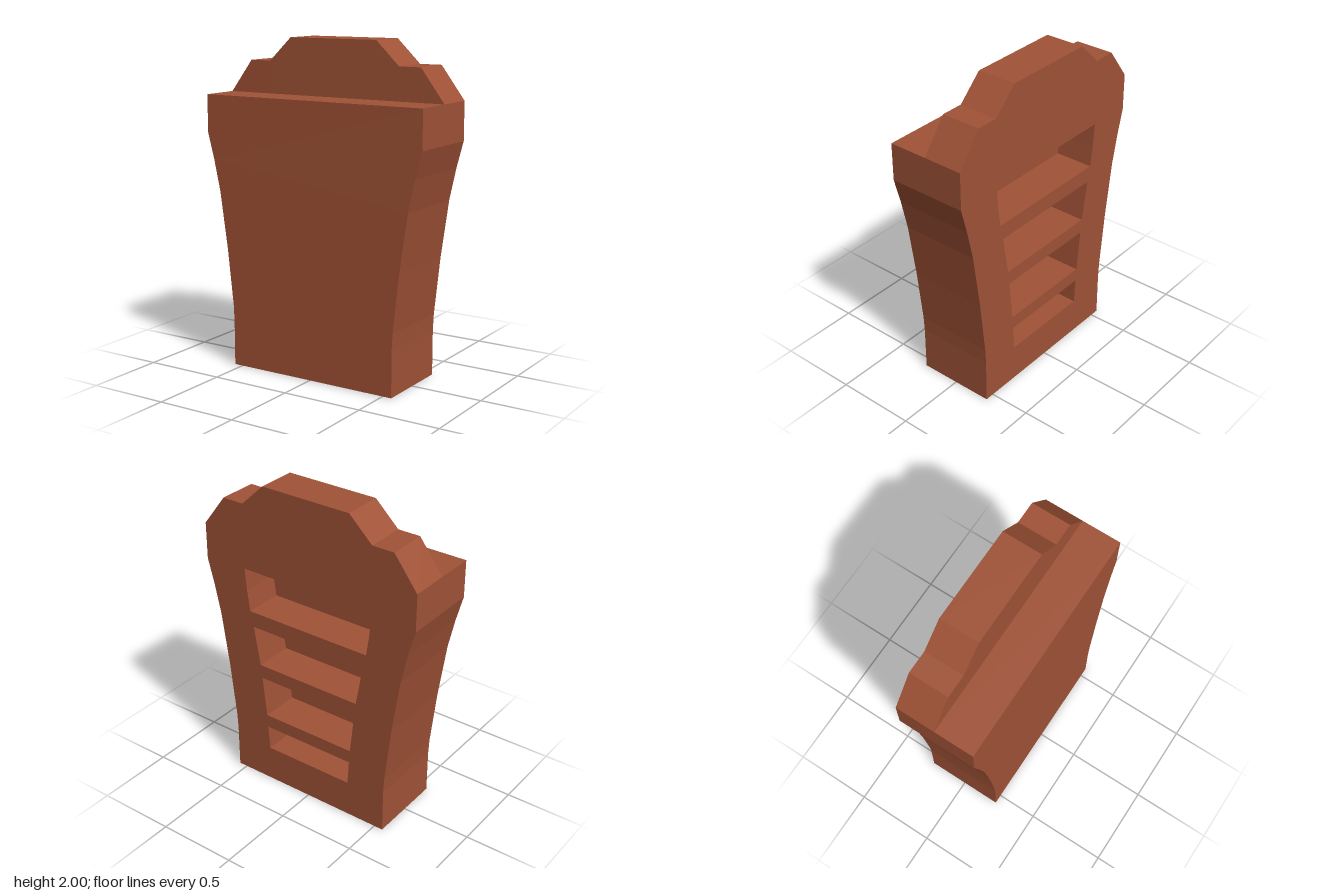
import * as THREE from 'three';

const DEPTH = 0.245;

// Right half outline of the tapered body, bottom to shoulder: [x, y]
const SIDE = [[0.557, 0], [0.557, 0.28], [0.562, 0.38], [0.6, 0.73], [0.65, 1.08], [0.692, 1.27], [0.735, 1.43], [0.735, 1.66]];

// Stepped crest above the shoulder
const CREST = [[0.585, 1.857], [0.445, 1.857], [0.295, 2]];

// Right edges of the four recesses, bottom to top
const SLOTS = [
  [[0.299, 0.232], [0.308, 0.389]],
  [[0.314, 0.473], [0.342, 0.735]],
  [[0.352, 0.823], [0.376, 0.96], [0.395, 1.074]],
  [[0.418, 1.173], [0.437, 1.305], [0.449, 1.446]],
];

// Closes a half outline with its mirror image
function mirrored(half, Type) {
  const left = half.map(([x, y]) => [-x, y]).reverse();
  return new Type([...half, ...left].map(([x, y]) => new THREE.Vector2(x, y)));
}

export function createModel() {
  const group = new THREE.Group();
  group.name = 'taperedBlock';
  const material = new THREE.MeshStandardMaterial({ color: 0xa05236 });

  function addSlab(name, shape, z) {
    const geometry = new THREE.ExtrudeGeometry(shape, { depth: DEPTH, bevelEnabled: false });
    const mesh = new THREE.Mesh(geometry, material);
    mesh.name = name;
    mesh.position.z = z;
    group.add(mesh);
  }

  // Plain front slab, flat at the shoulder
  addSlab('frontSlab', mirrored(SIDE, THREE.Shape), 0);

  // Taller back slab with the crest and recesses that end at the front slab
  const back = mirrored([...SIDE, ...CREST], THREE.Shape);
  back.holes = SLOTS.map((slot) => mirrored(slot, THREE.Path));
  addSlab('backSlab', back, -DEPTH);

  return group;
}
